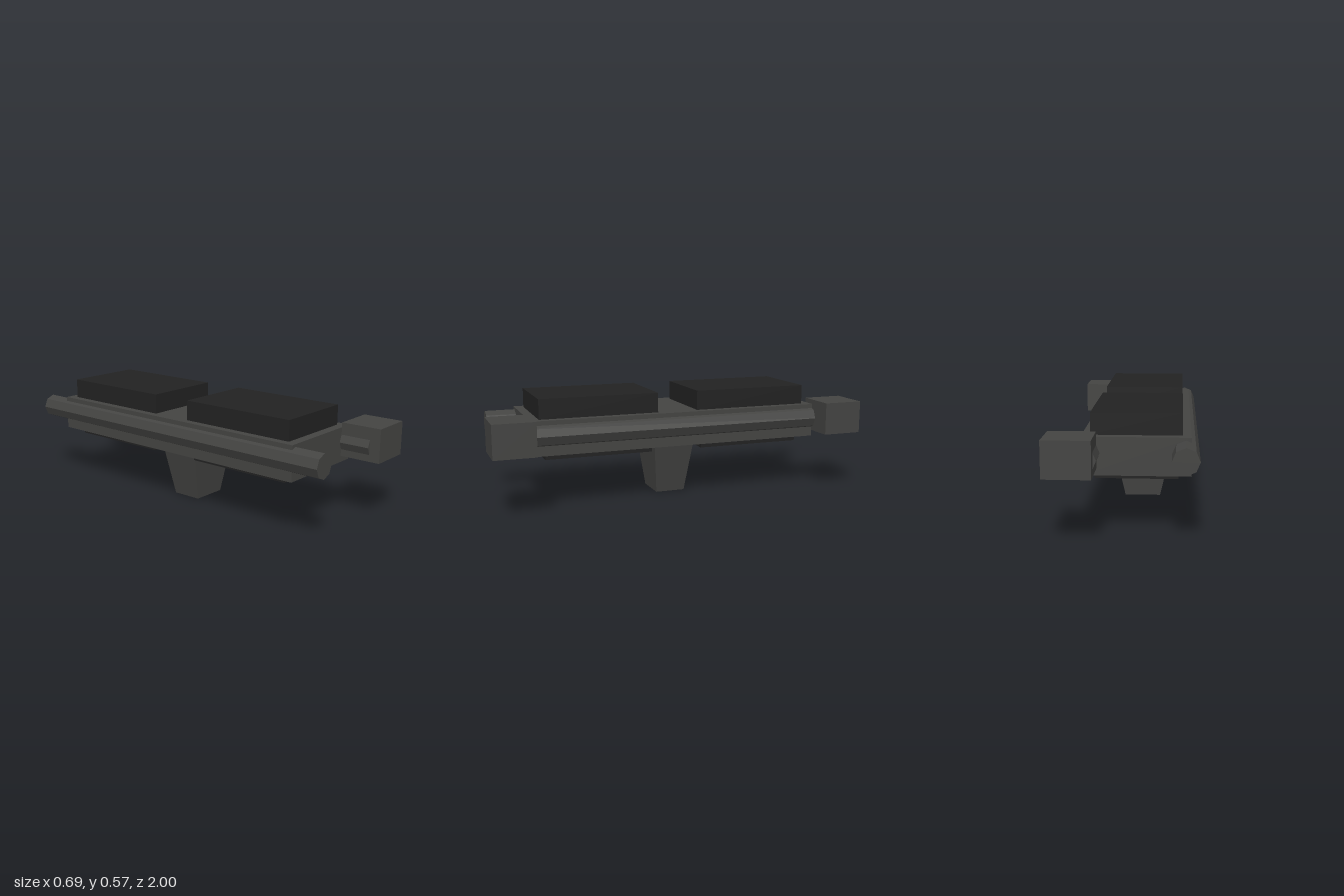
import * as THREE from 'three';

export function createModel() {
  const group = new THREE.Group();
  const frameMat = new THREE.MeshStandardMaterial({ color: 0x444442, flatShading: true });
  const padMat = new THREE.MeshStandardMaterial({ color: 0x222222, flatShading: true });
  const axisX = -0.056; // centre line of the deck

  const add = (name, geometry, material, x, y, z) => {
    const mesh = new THREE.Mesh(geometry, material);
    mesh.name = name;
    mesh.position.set(x, y, z);
    group.add(mesh);
    return mesh;
  };
  // Box given by its lower and upper corners
  const box = (name, material, [x0, y0, z0], [x1, y1, z1]) =>
    add(name, new THREE.BoxGeometry(x1 - x0, y1 - y0, z1 - z0), material,
      (x0 + x1) / 2, (y0 + y1) / 2, (z0 + z1) / 2);

  // Long flat deck
  box('deck', frameMat, [-0.307, 0.285, -0.787], [0.195, 0.464, 0.787]);

  // Eight-sided rails along both long sides
  for (const [name, x] of [['rightRail', -0.282], ['leftRail', 0.17]]) {
    const rail = new THREE.CylinderGeometry(0.0625, 0.0625, 1.89, 8);
    rail.rotateX(Math.PI / 2);
    add(name, rail, frameMat, x, 0.389, 0);
  }

  // Pads above and below, and an end block, at front and back
  for (const [end, s] of [['front', 1], ['back', -1]]) {
    const pair = (name, material, x0, x1, y0, y1, z0, z1) =>
      box(end + name, material, [x0, y0, Math.min(s * z0, s * z1)], [x1, y1, Math.max(s * z0, s * z1)]);
    pair('TopPad', padMat, -0.267, 0.155, 0.464, 0.567, 0.11, 0.74);
    pair('BottomPad', padMat, -0.25, 0.139, 0.253, 0.285, 0.14, 0.71);
    pair('EndBlock', frameMat, 0.123, 0.343, 0.317, 0.489, 0.787, 1);
  }

  // Tapered foot under the middle
  const height = 0.285;
  const foot = new THREE.BoxGeometry(1, height, 1);
  const p = foot.attributes.position;
  for (let i = 0; i < p.count; i++) {
    const top = p.getY(i) > 0;
    p.setX(i, Math.sign(p.getX(i)) * (top ? 0.158 : 0.0945));
    p.setZ(i, Math.sign(p.getZ(i)) * (top ? 0.112 : 0.08));
  }
  foot.computeVertexNormals();
  add('foot', foot, frameMat, axisX, height / 2, 0);

  return group;
}
